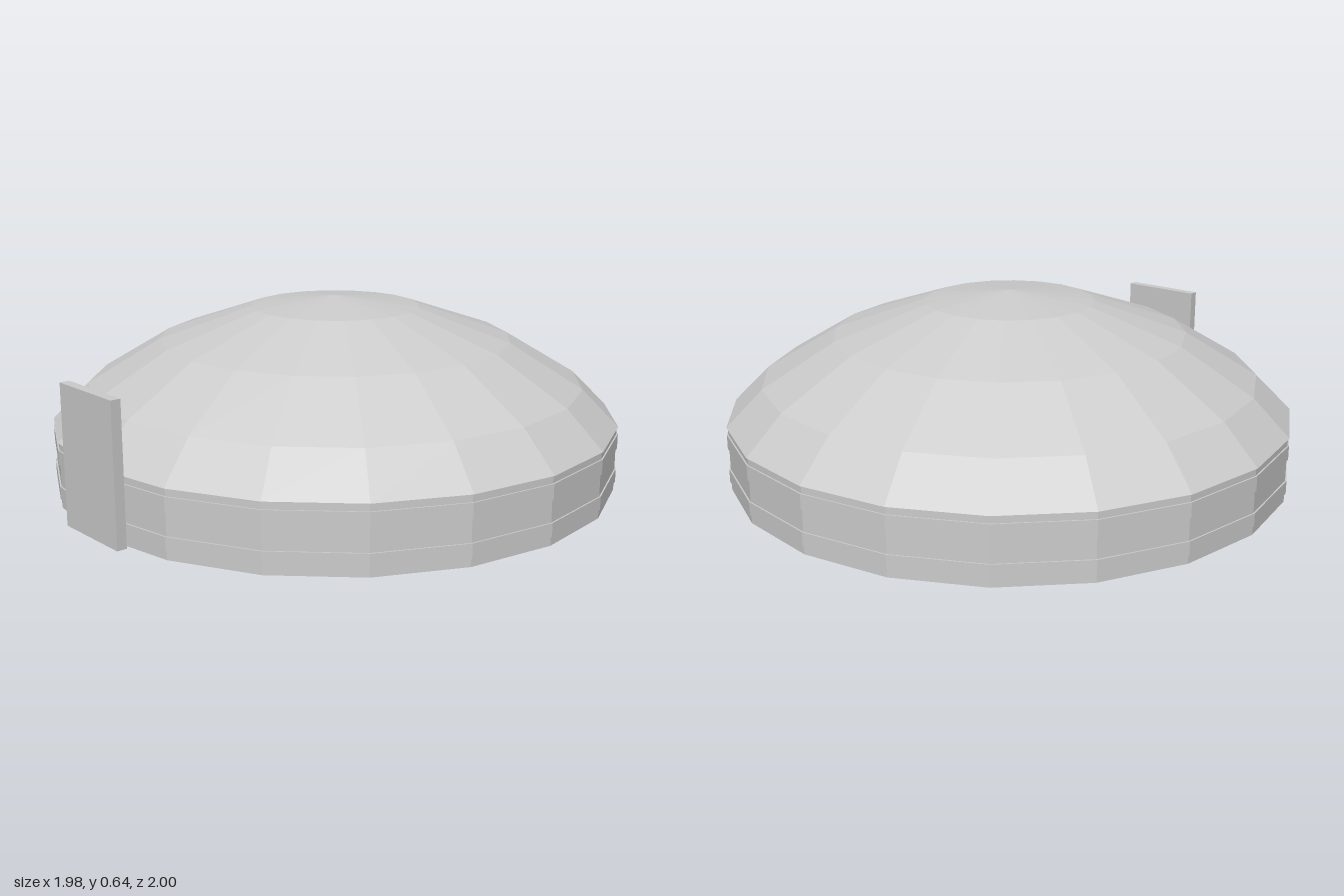
import * as THREE from 'three';
import { mergeGeometries } from 'three/addons/utils/BufferGeometryUtils.js';

const SIDES = 20;

// Faceted 20-sided frustum between heights y0 and y1
function frustum(r0, y0, r1, y1, open) {
  const g = new THREE.CylinderGeometry(r1, r0, y1 - y0, SIDES, 1, open);
  g.translate(0, (y0 + y1) / 2, 0);
  const flat = g.toNonIndexed();
  flat.computeVertexNormals();
  return flat;
}

export function createModel() {
  const model = new THREE.Group();
  model.name = 'domeBuilding';
  const grey = new THREE.MeshStandardMaterial({ color: 0xcccccc });
  grey.name = 'pale grey';

  const add = (parent, name, geometry) => {
    const mesh = new THREE.Mesh(geometry, grey);
    mesh.name = name;
    parent.add(mesh);
    return mesh;
  };

  const hall = new THREE.Group();
  hall.name = 'hall';
  hall.position.z = -0.01;
  model.add(hall);

  // Low round wall with a closed floor
  add(hall, 'wall', frustum(0.985, 0, 0.985, 0.225, false));

  // Two slim bands around the wall
  add(hall, 'lowerBand', frustum(0.99, 0.03, 0.99, 0.075, false));
  add(hall, 'upperBand', frustum(0.99, 0.15, 0.99, 0.2, false));

  // Shallow dome in four faceted tiers
  const profile = [[0.99, 0.225], [0.865, 0.35], [0.615, 0.5], [0.295, 0.61], [0, 0.645]];
  const tiers = [];
  for (let i = 0; i < profile.length - 1; i++) {
    tiers.push(frustum(...profile[i], ...profile[i + 1], true));
  }
  add(hall, 'dome', mergeGeometries(tiers));

  // Tall door slab standing at the front
  const door = add(model, 'door', new THREE.BoxGeometry(0.294, 0.47, 0.034));
  door.position.set(0, 0.235, 0.983);

  return model;
}
